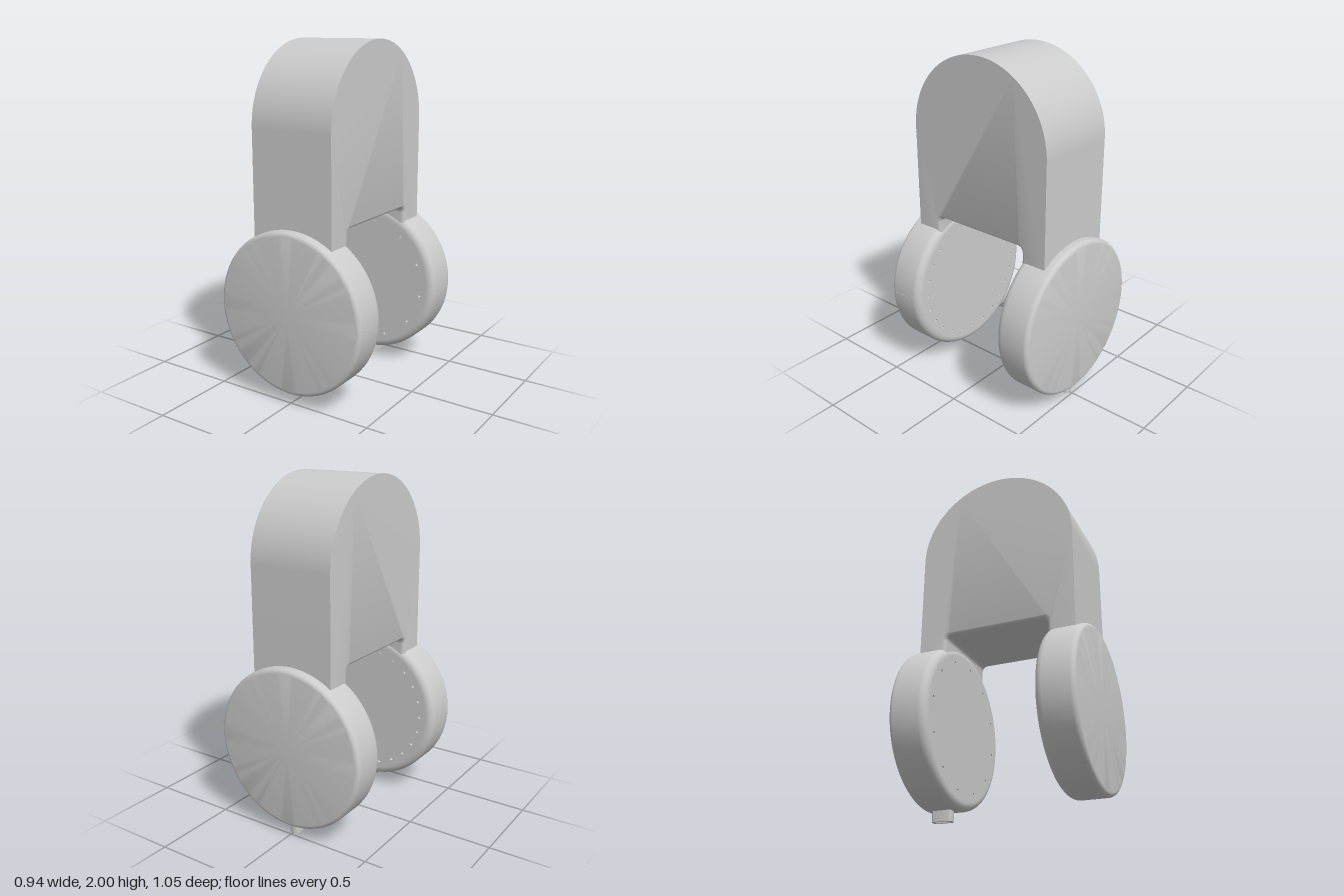
import * as THREE from 'three';
import { toCreasedNormals } from 'three/addons/utils/BufferGeometryUtils.js';

const R = 0.47;          // radius of the cups and of the arch
const CUP_Y = 0.53;      // height of the cup centres
const ARCH_Y = 1.53;     // height of the arch centre
const INNER = 0.303;     // inner and outer faces of a cup
const OUTER = 0.525;

const material = new THREE.MeshStandardMaterial({ color: 0xcccccc });

function addMesh(parent, name, geometry) {
  const mesh = new THREE.Mesh(geometry, material);
  mesh.name = name;
  parent.add(mesh);
  return mesh;
}

// Arched body: profile extruded across x, rounded only along the underside
function bodyGeometry() {
  const s = new THREE.Shape();
  s.moveTo(R, 0.75);
  s.lineTo(R, ARCH_Y);
  s.absarc(0, ARCH_Y, R, 0, Math.PI, false);
  s.lineTo(-R, 0.75);
  s.lineTo(-0.308, 0.75);
  s.lineTo(-0.308, 0.97);
  s.quadraticCurveTo(-0.308, 1.005, -0.273, 1.005);
  s.lineTo(0.273, 1.005);
  s.quadraticCurveTo(0.308, 1.005, 0.308, 0.97);
  s.lineTo(0.308, 0.75);
  s.closePath();
  const bevel = 0.025;
  const half = 0.258;
  const g = new THREE.ExtrudeGeometry(s, {
    depth: 2 * (half - bevel), bevelEnabled: true, bevelSize: bevel,
    bevelThickness: bevel, bevelOffset: -bevel, bevelSegments: 5, curveSegments: 48,
  });
  g.translate(0, 0, bevel - half);
  // Push the bevel on the outer wall back out, leaving a crisp edge there
  const p = g.attributes.position;
  for (let i = 0; i < p.count; i++) {
    const x = p.getX(i), dy = p.getY(i) - ARCH_Y;
    if (dy > 0) {
      const k = R / Math.hypot(x, dy);
      p.setXY(i, x * k, ARCH_Y + dy * k);
    } else if (Math.abs(x) > 0.42) {
      p.setX(i, Math.sign(x) * R);
    }
  }
  g.rotateY(Math.PI / 2);
  return toCreasedNormals(g, 0.5);
}

// Cup shell: rounded disc with a shallow seat for the perforated plate
function shellGeometry() {
  const pts = [[0, INNER + 0.016], [0.42, INNER + 0.016], [0.42, INNER]];
  const fillet = (r, y, from) => {
    for (let i = 0; i <= 6; i++) {
      const a = from + (i / 6) * Math.PI / 2;
      pts.push([R - r + r * Math.cos(a), y + r * Math.sin(a)]);
    }
  };
  fillet(0.045, INNER + 0.045, -Math.PI / 2);
  fillet(0.028, OUTER - 0.028, 0);
  pts.push([0, OUTER]);
  const g = new THREE.LatheGeometry(pts.map(([x, y]) => new THREE.Vector2(x, y)), 96);
  g.rotateX(Math.PI / 2);
  return toCreasedNormals(g, 0.5);
}

// Inner plate with a ring of small holes
function plateGeometry(count, phase) {
  const s = new THREE.Shape();
  s.absarc(0, 0, 0.422, 0, Math.PI * 2, false);
  for (let i = 0; i < count; i++) {
    const a = phase + (i / count) * Math.PI * 2;
    const hole = new THREE.Path();
    hole.absarc(0.38 * Math.cos(a), 0.38 * Math.sin(a), 0.009, 0, Math.PI * 2, true);
    s.holes.push(hole);
  }
  const g = new THREE.ExtrudeGeometry(s, { depth: 0.018, bevelEnabled: false, curveSegments: 24 });
  g.translate(0, 0, INNER);
  return g;
}

function makeCup(name, holeCount, phase) {
  const cup = new THREE.Group();
  cup.name = name;
  cup.position.y = CUP_Y;
  addMesh(cup, 'cupShell', shellGeometry());
  addMesh(cup, 'perforatedPlate', plateGeometry(holeCount, phase));
  return cup;
}

// Rounded rectangle outline centred on the origin
function roundRect(path, w, h, r) {
  const x = w / 2 - r, y = h / 2 - r;
  path.absarc(x, y, r, 0, Math.PI / 2, false);
  path.absarc(-x, y, r, Math.PI / 2, Math.PI, false);
  path.absarc(-x, -y, r, Math.PI, Math.PI * 1.5, false);
  path.absarc(x, -y, r, Math.PI * 1.5, Math.PI * 2, false);
  path.closePath();
  return path;
}

export function createModel() {
  const model = new THREE.Group();
  model.name = 'archWithCups';

  addMesh(model, 'archBody', bodyGeometry());

  const front = makeCup('frontCup', 24, 0);
  model.add(front);
  const back = makeCup('backCup', 12, THREE.MathUtils.degToRad(9));
  back.rotation.y = Math.PI;
  model.add(back);

  // Thin seam on the rim of the front cup
  const seam = addMesh(front, 'rimSeam', new THREE.BoxGeometry(0.006, 0.007, 0.13));
  seam.position.set(R - 0.0015, 0, 0.425);

  // Hollow plug under the back cup, closed further up
  const plug = roundRect(new THREE.Shape(), 0.056, 0.12, 0.016);
  plug.holes.push(roundRect(new THREE.Path(), 0.03, 0.09, 0.008));
  const plugGeometry = new THREE.ExtrudeGeometry(plug, { depth: 0.09, bevelEnabled: false, curveSegments: 6 });
  plugGeometry.rotateX(-Math.PI / 2);
  const plugMesh = addMesh(model, 'plug', toCreasedNormals(plugGeometry, 0.6));
  plugMesh.position.z = -0.42;

  return model;
}
